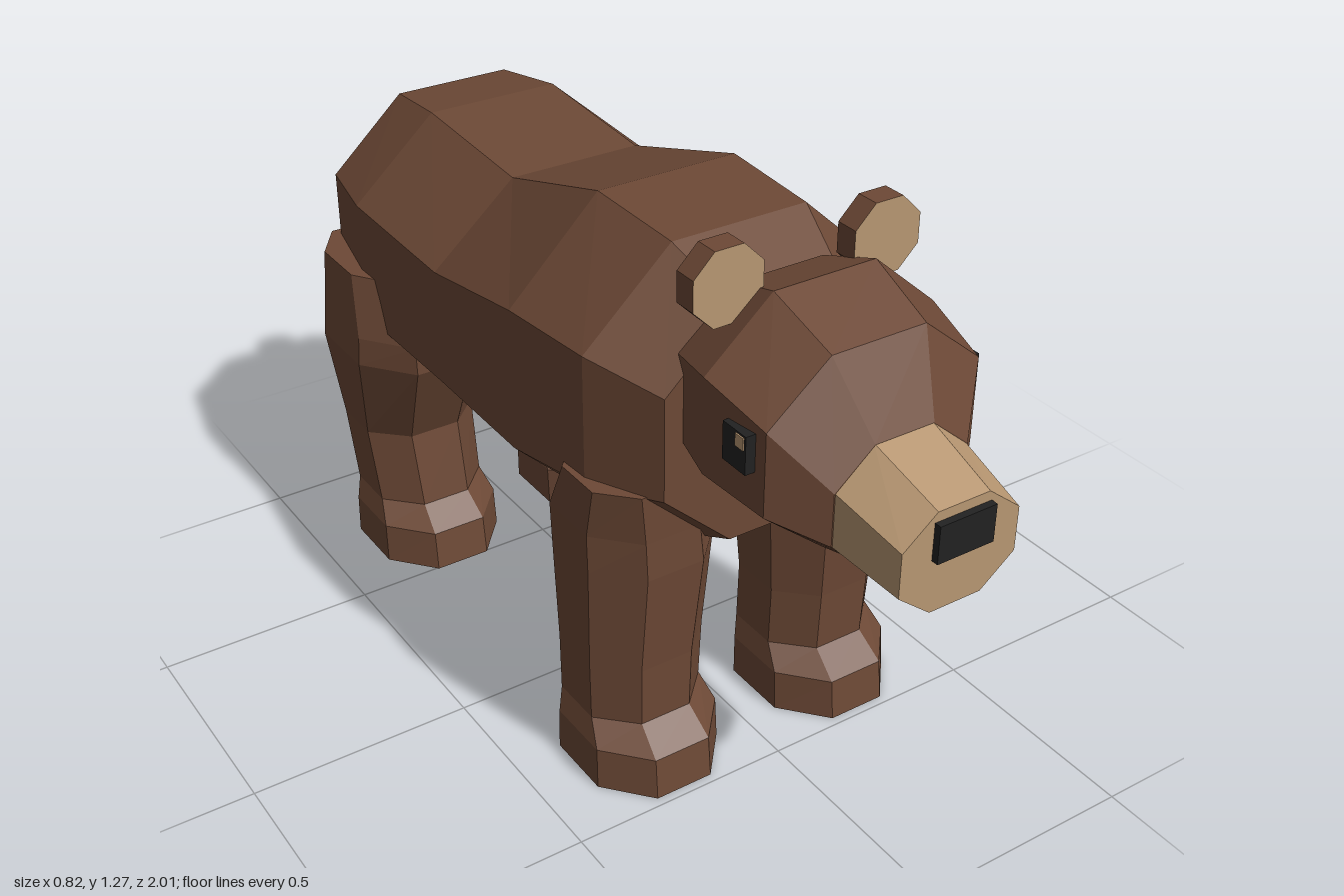
import * as THREE from 'three';

const brown = new THREE.MeshStandardMaterial({ color: 0x6d4936 });
brown.name = 'brown fur';
const tan = new THREE.MeshStandardMaterial({ color: 0xb89772 });
tan.name = 'tan fur';
const black = new THREE.MeshStandardMaterial({ color: 0x222222 });
black.name = 'black';

// Eight corners of a bevelled unit square, counter-clockwise
const R = 0.44;
const OCT = [[1, -R], [1, R], [R, 1], [-R, 1], [-1, R], [-1, -R], [-R, -1], [R, -1]];

// Faceted loft through octagons. Section: [t, centreA, halfA, centreB, halfB].
// place(a, b, t) maps to x, y, z; (a, b, t) must be right-handed and t rising.
function loft(sections, place) {
  const rings = sections.map(([t, ca, ha, cb, hb]) =>
    OCT.map(([a, b]) => place(ca + a * ha, cb + b * hb, t)));
  const pos = [];
  const tri = (...points) => points.forEach((p) => pos.push(...p));
  for (let k = 0; k < rings.length - 1; k++) {
    for (let i = 0; i < 8; i++) {
      const j = (i + 1) % 8;
      const [p, q] = [rings[k], rings[k + 1]];
      tri(p[i], p[j], q[j]);
      tri(p[i], q[j], q[i]);
    }
  }
  const first = rings[0], last = rings[rings.length - 1];
  for (let i = 1; i < 7; i++) {
    tri(first[0], first[i + 1], first[i]);
    tri(last[0], last[i], last[i + 1]);
  }
  const g = new THREE.BufferGeometry();
  g.setAttribute('position', new THREE.Float32BufferAttribute(pos, 3));
  g.computeVertexNormals();
  return g;
}
const alongZ = (a, b, t) => [a, b, t];
const alongY = (a, b, t) => [b, t, a];

// Eight-sided disc facing +z
function disc(rFront, rBack, depth) {
  const g = new THREE.CylinderGeometry(rFront, rBack, depth, 8, 1, false, Math.PI / 8)
    .rotateX(Math.PI / 2).toNonIndexed();
  g.computeVertexNormals();
  return g;
}

export function createModel() {
  const bear = new THREE.Group();
  bear.name = 'bear';
  const add = (name, geometry, material, x = 0, y = 0, z = 0) => {
    const m = new THREE.Mesh(geometry, material);
    m.name = name;
    m.position.set(x, y, z);
    bear.add(m);
    return m;
  };

  // Torso, rump to shoulders: z, x centre, half width, y centre, half height
  add('torso', loft([
    [-0.93, 0, 0.22, 0.805, 0.205],
    [-0.86, 0, 0.32, 0.80, 0.29],
    [-0.66, 0, 0.362, 0.795, 0.32],
    [-0.30, 0, 0.355, 0.785, 0.305],
    [0.06, 0, 0.375, 0.835, 0.365],
    [0.31, 0, 0.36, 0.86, 0.33],
    [0.47, 0, 0.28, 0.85, 0.26],
  ], alongZ), brown);

  // Head and muzzle
  add('head', loft([
    [0.44, 0, 0.23, 0.945, 0.20],
    [0.575, 0, 0.267, 0.957, 0.233],
    [0.735, 0, 0.245, 0.928, 0.203],
    [0.82, 0, 0.155, 0.848, 0.13],
  ], alongZ), brown);
  add('muzzle', loft([
    [0.815, 0, 0.153, 0.848, 0.131],
    [0.985, 0, 0.135, 0.818, 0.108],
  ], alongZ), tan);
  add('nose', new THREE.BoxGeometry(0.13, 0.08, 0.02), black, 0, 0.865, 0.99);

  // Tail
  add('tail', disc(0.058, 0.058, 0.12), brown, 0, 0.943, -0.94).rotation.x = 0.12;

  // Legs, sole to hip: y, z centre, half depth, x centre, half width
  const frontLeg = [
    [0, 0.302, 0.178, 0.232, 0.153],
    [0.095, 0.298, 0.172, 0.231, 0.151],
    [0.145, 0.268, 0.137, 0.230, 0.136],
    [0.29, 0.275, 0.136, 0.232, 0.140],
    [0.53, 0.275, 0.157, 0.225, 0.152],
    [0.62, 0.272, 0.160, 0.232, 0.146],
    [0.735, 0.308, 0.128, 0.255, 0.121],
  ];
  const rearLeg = [
    [0, -0.678, 0.182, 0.232, 0.153],
    [0.095, -0.683, 0.175, 0.231, 0.151],
    [0.145, -0.713, 0.142, 0.230, 0.136],
    [0.33, -0.737, 0.138, 0.235, 0.142],
    [0.56, -0.705, 0.212, 0.247, 0.165],
    [0.63, -0.70, 0.207, 0.253, 0.155],
    [0.775, -0.72, 0.162, 0.285, 0.11],
  ];

  for (const [side, s] of [['left', 1], ['right', -1]]) {
    for (const [name, rows] of [['FrontLeg', frontLeg], ['RearLeg', rearLeg]]) {
      const mirrored = rows.map(([y, cz, hz, cx, hx]) => [y, cz, hz, s * cx, hx]);
      add(side + name, loft(mirrored, alongY), brown);
    }
    // Ears with a tan front face
    add(side + 'Ear', disc(0.084, 0.084, 0.052), [brown, tan, brown], s * 0.182, 1.197, 0.502);
    // Eyes with a small glint
    add(side + 'Eye', new THREE.BoxGeometry(0.03, 0.08, 0.07), black, s * 0.255, 0.965, 0.675);
    add(side + 'EyeGlint', new THREE.BoxGeometry(0.006, 0.026, 0.024), tan, s * 0.27, 0.988, 0.693);
  }
  return bear;
}
